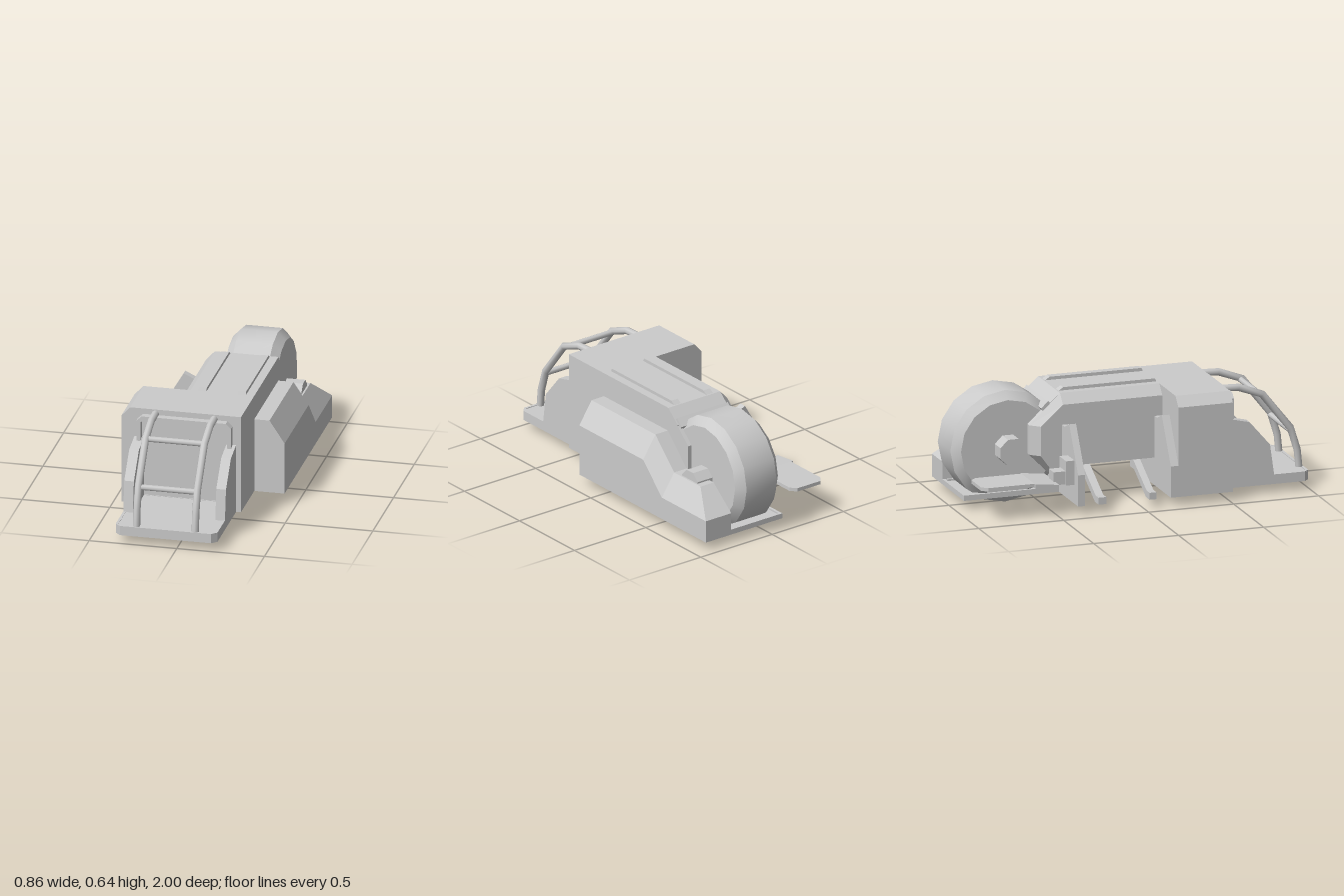
import * as THREE from 'three';
import { toCreasedNormals } from 'three/addons/utils/BufferGeometryUtils.js';

const flat = new THREE.MeshStandardMaterial({ color: 0xcccccc, flatShading: true, side: THREE.DoubleSide });
const smooth = new THREE.MeshStandardMaterial({ color: 0xcccccc });

export function createModel() {
  const model = new THREE.Group();

  const add = (name, geometry, material = flat) => {
    const mesh = new THREE.Mesh(geometry, material);
    mesh.name = name;
    model.add(mesh);
    return mesh;
  };
  const box = (name, x0, x1, y0, y1, z0, z1) => add(name,
    new THREE.BoxGeometry(x1 - x0, y1 - y0, z1 - z0)
      .translate((x0 + x1) / 2, (y0 + y1) / 2, (z0 + z1) / 2));
  const extrude = (points, depth, hole) => {
    const shape = new THREE.Shape(points.map(p => new THREE.Vector2(...p)));
    if (hole) shape.holes.push(new THREE.Path(hole.map(p => new THREE.Vector2(...p))));
    return new THREE.ExtrudeGeometry(shape, { depth, bevelEnabled: false });
  };
  // Prisms along z (x,y points), x (z,y points) and y (x,z points)
  const prismZ = (name, pts, z0, z1) => add(name, extrude(pts, z1 - z0).translate(0, 0, z0));
  const prismX = (name, pts, x0, x1) => add(name,
    extrude(pts.map(([z, y]) => [-z, y]), x1 - x0).rotateY(Math.PI / 2).translate(x0, 0, 0));
  const flip = pts => pts && pts.map(([x, z]) => [x, -z]);
  const prismY = (name, pts, y0, y1, hole) => add(name,
    extrude(flip(pts), y1 - y0, flip(hole)).rotateX(-Math.PI / 2).translate(0, y0, 0));
  const rect = (x0, x1, z0, z1) => [[x0, z0], [x1, z0], [x1, z1], [x0, z1]];

  // Skin over convex rings with end caps; sides before firstSide or after lastSide stay open
  const loft = (name, rings, firstSide, lastSide) => {
    const n = rings[0].length, end = (rings.length - 1) * n, index = [];
    for (let s = 0; s < end; s += n) {
      for (let j = firstSide; j <= lastSide; j++) {
        const a = s + j, b = s + (j + 1) % n;
        index.push(a, a + n, b, b, a + n, b + n);
      }
    }
    for (let j = 1; j < n - 1; j++) index.push(0, j, j + 1, end, end + j + 1, end + j);
    const geometry = new THREE.BufferGeometry();
    geometry.setAttribute('position', new THREE.Float32BufferAttribute(rings.flat(2), 3));
    geometry.setIndex(index);
    const faceted = geometry.toNonIndexed();
    faceted.computeVertexNormals();
    add(name, faceted);
  };

  // Round bar following straight segments
  const bar = (name, pts, radius) => {
    const curve = new THREE.CatmullRomCurve3(pts.map(p => new THREE.Vector3(...p)), false, 'catmullrom', 0);
    curve.getPointAt = curve.getPoint;
    curve.getTangentAt = curve.getTangent;
    add(name, new THREE.TubeGeometry(curve, pts.length - 1, radius, 8), smooth);
  };

  // Cabin block, open underneath, and long rear body with a sloping underside
  loft('cabin', [0.52, 0.2].map(z =>
    [[-0.43, 0.05, z], [0.253, 0.05, z], [0.253, 0.62, z], [-0.38, 0.62, z], [-0.43, 0.565, z]]), 1, 4);
  prismZ('rearBody', [[-0.16, 0.21], [0.253, 0.42], [0.253, 0.62], [-0.11, 0.62], [-0.16, 0.565]], -0.385, 0.2);
  prismX('rearSlope', [[-0.385, 0.62], [-0.47, 0.545], [-0.47, 0.3], [-0.385, 0.3]], -0.11, 0.253);

  // Cheeks beside the wheel
  const cheek = [[-0.385, 0.62], [-0.565, 0.45], [-0.565, 0.28], [-0.385, 0.1]];
  const outerCheek = [[-0.385, 0.565], [-0.515, 0.45], [-0.515, 0.28], [-0.385, 0.1]];
  prismX('cheek', cheek, -0.11, -0.08);
  prismX('cheek', cheek, 0.23, 0.253);
  loft('cheekChamfer', [
    cheek.map(([z, y]) => [-0.11, y, z]),
    outerCheek.map(([z, y]) => [-0.16, y, z]),
  ], 0, 3);
  prismX('wheelLip', [[-0.44, 0.565], [-0.455, 0.58], [-0.495, 0.54], [-0.48, 0.52]], -0.11, 0.245);

  // Roof rails
  for (const x of [-0.065, 0.16]) {
    prismX('roofRail', [[0.2, 0.615], [0.19, 0.638], [-0.35, 0.638], [-0.385, 0.615]], x, x + 0.045);
  }

  // Side pod, open underneath: z, top height, shoulder height, shoulder x
  const sections = [
    [0.2, 0.48, 0.35, 0.34], [-0.38, 0.48, 0.35, 0.34], [-0.55, 0.31, 0.18, 0.34],
    [-0.79, 0.31, 0.18, 0.34], [-0.95, 0.18, 0.18, 0.426],
  ];
  loft('sidePod', sections.map(([z, top, side, x]) =>
    [[0.253, 0.05, z], [0.426, 0.05, z], [0.426, side, z], [x, top, z], [0.253, top, z]]), 1, 3);
  prismX('podInnerWall',
    [[-0.385, 0.05], [-0.385, 0.475], [-0.55, 0.31], [-0.79, 0.31], [-0.95, 0.18], [-0.95, 0.05]], 0.248, 0.253);

  // Rear wheel with hubs
  const tyre = [[0, -0.15], [0.275, -0.15], [0.322, -0.105], [0.322, 0.105], [0.275, 0.15], [0, 0.15]];
  const wheel = new THREE.LatheGeometry(tyre.map(p => new THREE.Vector2(...p)), 16).rotateZ(Math.PI / 2);
  add('wheel', toCreasedNormals(wheel, 0.5), smooth).position.set(0.075, 0.322, -0.68);
  const hub = (r, x0, x1, y) => add('hub',
    new THREE.CylinderGeometry(r, r, x1 - x0, 8).rotateZ(-Math.PI / 2).rotateX(Math.PI / 8)
      .translate((x0 + x1) / 2, y, -0.68));
  hub(0.082, -0.17, -0.06, 0.32);
  hub(0.076, 0.21, 0.33, 0.29);

  // Rimmed floor around the wheel
  prismY('wheelFrame', rect(-0.11, 0.25, -0.95, -0.39), 0.05, 0.08, rect(-0.095, 0.235, -0.935, -0.405));
  box('wheelFloor', -0.1, 0.24, 0.065, 0.07, -0.94, -0.4);

  // Open side bay: end plates and sloping ribs with feet
  const plate = [[-0.43, 0.05], [0.25, 0.05], [0.25, 0.45], [-0.2, 0.45], [-0.28, 0.485], [-0.43, 0.23]];
  prismZ('bayPlate', plate, -0.39, -0.35);
  prismZ('bayPlate', plate, 0.155, 0.2);
  const rib = [[-0.43, 0.05], [-0.37, 0.05], [0.34, 0.43], [0.34, 0.47], [-0.38, 0.09], [-0.43, 0.09]];
  prismZ('bayRib', rib, -0.27, -0.225);
  prismZ('bayRib', rib, 0.03, 0.07);

  // Tail flap on a short mount
  box('flapMount', -0.37, -0.255, 0.16, 0.3, -0.44, -0.39);
  box('flapNeck', -0.36, -0.28, 0.165, 0.24, -0.51, -0.44);
  prismX('flapRoot', [[-0.64, 0.175], [-0.64, 0.2], [-0.5, 0.185], [-0.5, 0.16]], -0.425, -0.18);
  prismY('flap', [[-0.41, -0.64], [-0.41, -0.91], [-0.38, -0.945], [-0.22, -0.945], [-0.19, -0.91], [-0.19, -0.64]],
    0.18, 0.2);

  // Front step: hollow underneath, clipped corners
  prismY('stepRim', [[-0.355, 0.52], [0.225, 0.52], [0.225, 0.97], [0.195, 1], [-0.325, 1], [-0.355, 0.97]],
    0.05, 0.105,
    [[-0.34, 0.525], [0.21, 0.525], [0.21, 0.965], [0.19, 0.985], [-0.32, 0.985], [-0.34, 0.965]]);
  box('stepFloor', -0.345, 0.215, 0.098, 0.103, 0.52, 0.982);

  // Side walls of the step
  const wall = [[0.52, 0.1], [0.79, 0.1], [0.765, 0.28], [0.645, 0.42], [0.52, 0.45]];
  prismX('stepWall', wall, -0.355, -0.3);
  prismX('stepWall', wall, 0.17, 0.225);

  // Raised door frame
  prismZ('doorFrame', [
    [-0.335, 0.44], [-0.335, 0.56], [-0.305, 0.588], [0.175, 0.588], [0.205, 0.56], [0.205, 0.44],
    [0.182, 0.44], [0.182, 0.55], [0.167, 0.566], [-0.297, 0.566], [-0.312, 0.55], [-0.312, 0.44],
  ], 0.52, 0.56);

  // Ladder
  const railPath = [[0.977, 0.1], [0.967, 0.2], [0.927, 0.33], [0.76, 0.54], [0.62, 0.592], [0.52, 0.595]];
  for (const x of [-0.235, 0.1]) bar('ladderRail', railPath.map(([z, y]) => [x, y, z]), 0.021);
  for (const [z, y] of [[0.75, 0.537], [0.925, 0.318]]) bar('ladderRung', [[-0.235, y, z], [0.1, y, z]], 0.017);

  return model;
}
